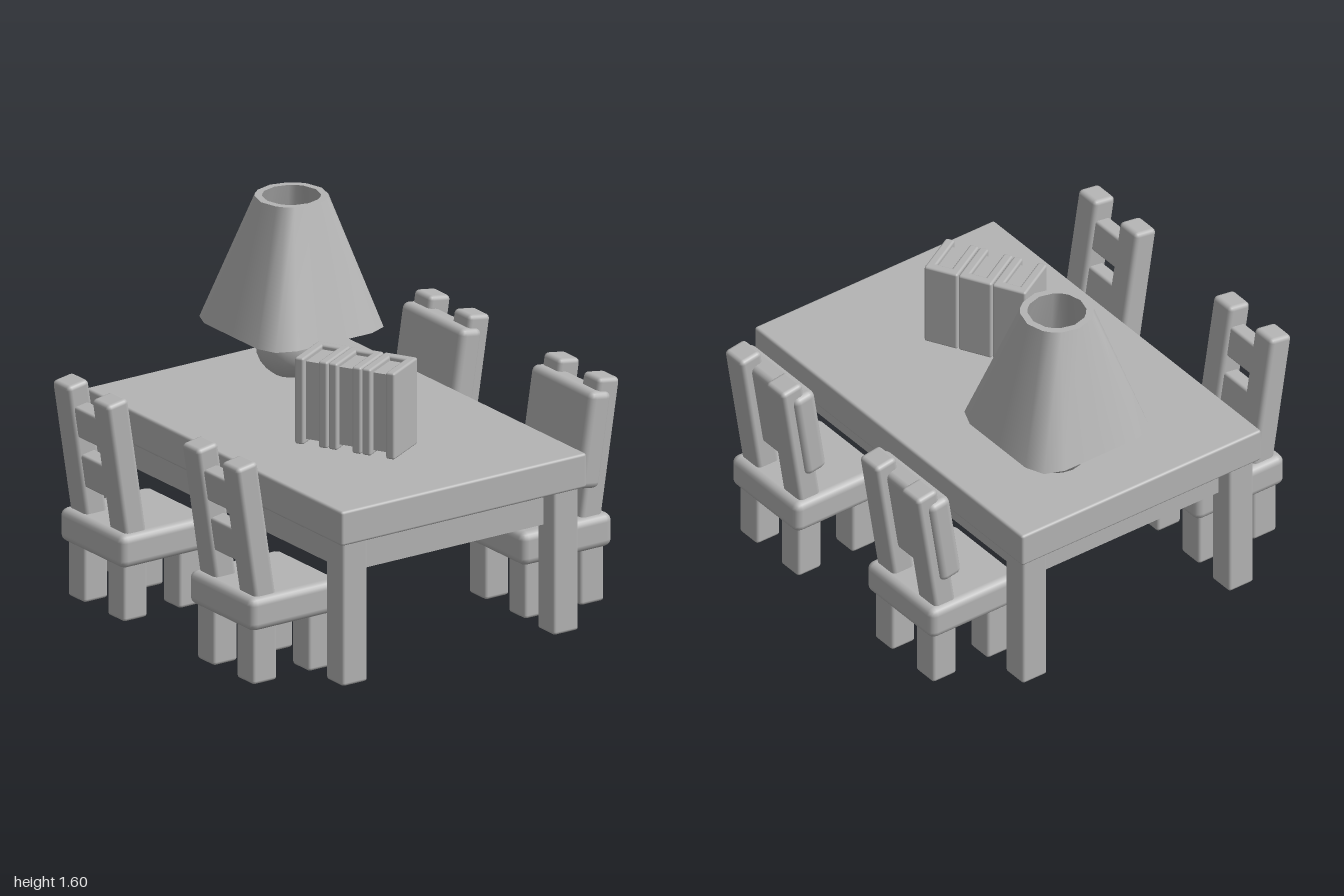
import * as THREE from 'three';
import { RoundedBoxGeometry } from 'three/addons/geometries/RoundedBoxGeometry.js';

const grey = new THREE.MeshStandardMaterial({ color: 0xb4b4b4 });
grey.name = 'plain grey';

function add(parent, name, geometry, x = 0, y = 0, z = 0) {
  const mesh = new THREE.Mesh(geometry, grey);
  mesh.name = name;
  mesh.position.set(x, y, z);
  parent.add(mesh);
  return mesh;
}

const softBox = (w, h, d, r) => new RoundedBoxGeometry(w, h, d, 2, r);

function subGroup(parent, name) {
  const g = new THREE.Group();
  g.name = name;
  parent.add(g);
  return g;
}

// Table: top, solid apron and four legs
function addTable(parent) {
  const table = subGroup(parent, 'table');
  add(table, 'tableTop', softBox(1.885, 0.155, 1.27, 0.012), 0, 0.722, 0);
  add(table, 'tableApron', new THREE.BoxGeometry(1.68, 0.18, 1.06), 0, 0.57, 0);
  for (const sx of [-1, 1]) for (const sz of [-1, 1]) {
    add(table, 'tableLeg', softBox(0.125, 0.66, 0.13, 0.014), sx * 0.855, 0.33, sz * 0.547);
  }
}

// Chair facing the table; its backrest is either two slats or one panel
function addChair(parent, x, turned, panel) {
  const chair = subGroup(parent, 'chair');
  chair.position.x = x;
  if (turned) chair.rotation.y = Math.PI;
  add(chair, 'seat', softBox(0.47, 0.15, 0.472, 0.035), 0, 0.322, 0.703);
  const back = subGroup(chair, 'backrest');
  back.position.set(0, 0.68, 0.89);
  back.rotation.x = 0.155;
  for (const sx of [-0.145, 0.145]) {
    for (const z of [0.56, 0.848]) {
      add(chair, 'chairLeg', softBox(0.125, 0.28, 0.125, 0.015), sx, 0.14, z);
    }
    add(back, 'backPost', softBox(0.125, 0.64, 0.11, 0.02), sx, 0, 0);
  }
  if (panel) {
    add(back, 'backPanel', softBox(0.455, 0.43, 0.11, 0.03), 0, 0.05, -0.045);
  } else {
    add(back, 'upperSlat', softBox(0.25, 0.145, 0.075, 0.012), 0, 0.15, 0);
    add(back, 'lowerSlat', softBox(0.25, 0.155, 0.075, 0.012), 0, -0.08, 0);
  }
}

// Shade cross-sections run from a chamfered square to a circle
function shadeGeometry() {
  const quarter = [[0.315, 0, 0], [0.315, 0.195, 30], [0.28, 0.28, 45], [0.195, 0.315, 60]];
  const ring = (y, scale, radius) => {
    const points = [];
    for (let q = 0; q < 4; q++) for (const [px, pz, deg] of quarter) {
      const v = new THREE.Vector2(px, pz).multiplyScalar(scale);
      if (radius) v.set(radius * Math.cos(deg * Math.PI / 180), radius * Math.sin(deg * Math.PI / 180));
      v.rotateAround(new THREE.Vector2(), q * Math.PI / 2);
      points.push([v.x, y, v.y]);
    }
    return points;
  };
  const rings = [ring(1.025, 1), ring(1.595, 1, 0.157), ring(1.595, 1, 0.125), ring(1.025, 0.92)];
  const positions = [], indices = [];
  rings.forEach((lower, k) => {
    const upper = rings[(k + 1) % 4], n = lower.length, base = positions.length / 3;
    for (const p of [...lower, ...upper]) positions.push(...p);
    for (let i = 0; i < n; i++) {
      const a = base + i, b = base + (i + 1) % n;
      indices.push(a, a + n, b, b, a + n, b + n);
    }
  });
  const g = new THREE.BufferGeometry();
  g.setAttribute('position', new THREE.Float32BufferAttribute(positions, 3));
  g.setIndex(indices);
  g.computeVertexNormals();
  return g;
}

// Table lamp: round base, stem, bulb and open shade
function addLamp(parent) {
  const lamp = subGroup(parent, 'lamp');
  lamp.position.set(-0.603, 0, -0.195);
  add(lamp, 'lampBase', new THREE.SphereGeometry(0.156, 16, 12), 0, 0.935, 0);
  add(lamp, 'lampStem', new THREE.CylinderGeometry(0.04, 0.05, 0.2, 8), 0, 1.14, 0);
  add(lamp, 'lampBulb', new THREE.SphereGeometry(0.08, 8, 8), 0, 1.26, 0);
  add(lamp, 'lampShade', shadeGeometry());
}

// Three upright books, each with two covers, a spine and recessed pages
function addBooks(parent) {
  const books = subGroup(parent, 'books');
  books.position.set(0.28, 0.993, 0.093);
  books.rotation.y = 0.505;
  for (let i = -1; i <= 1; i++) {
    const book = subGroup(books, 'book');
    book.position.x = i * 0.158;
    for (const s of [-1, 1]) add(book, 'cover', softBox(0.042, 0.39, 0.23, 0.01), s * 0.056, 0, 0);
    add(book, 'spine', softBox(0.154, 0.39, 0.042, 0.01), 0, 0, -0.094);
    add(book, 'pages', new THREE.BoxGeometry(0.08, 0.35, 0.185), 0, 0, -0.005);
  }
}

export function createModel() {
  const model = new THREE.Group();
  model.name = 'diningSet';
  addTable(model);
  for (const x of [-0.475, 0.475]) {
    addChair(model, x, false, false);
    addChair(model, x, true, true);
  }
  addLamp(model);
  addBooks(model);
  return model;
}
